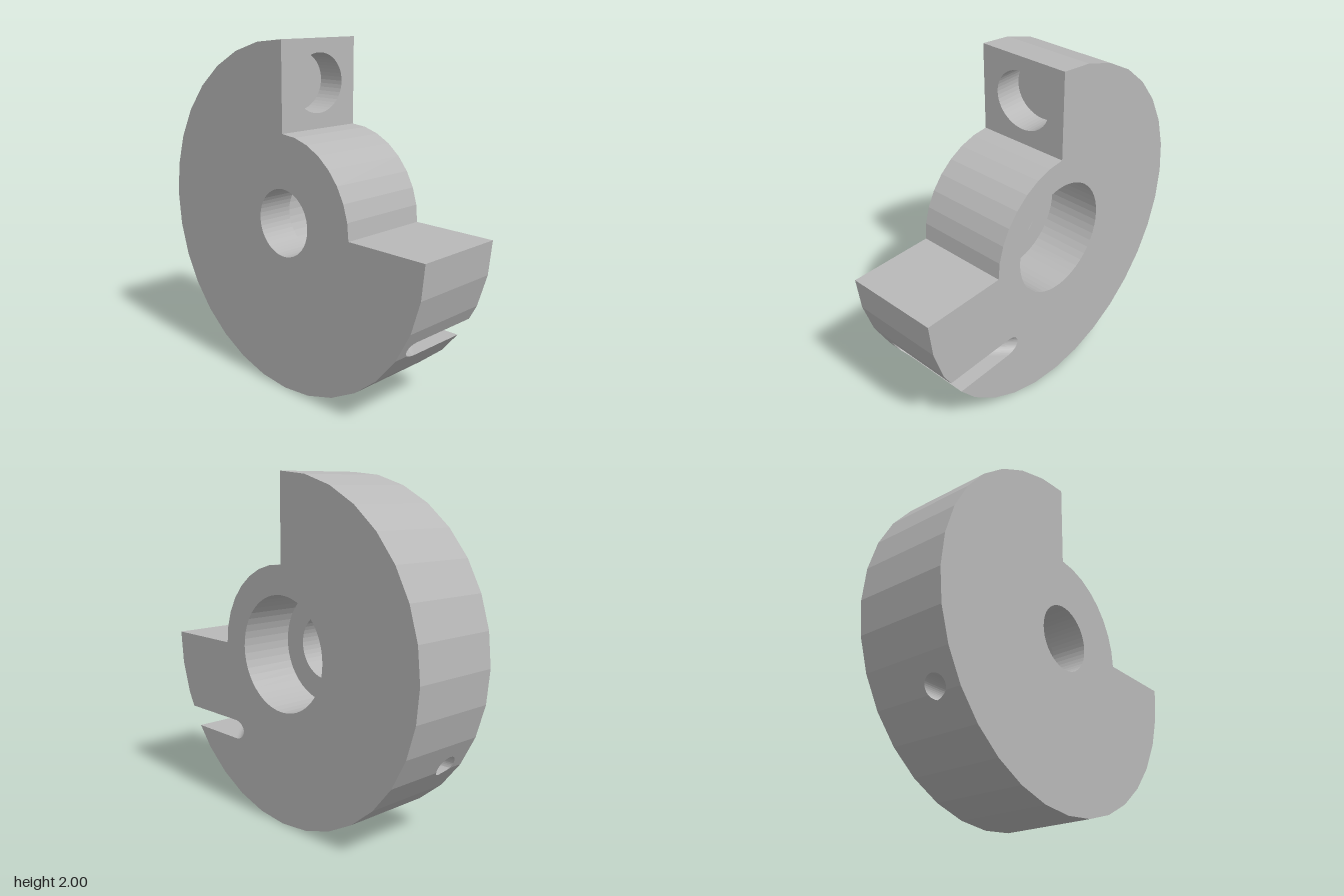
import * as THREE from 'three';

const T = 0.278;                        // half thickness
const BORE = 0.194, COUNTER = 0.333;    // centre bore and rear counterbore radii
const SHOULDER = 0.055;                 // z of the counterbore floor
const YC = 0.473, R = 0.0575, C = 0.715; // diagonal slot: height, radius, centre line z = x - C
const ZC = 0.13, HZ = 0.065;            // small cross hole: centre z and half width
const STEP = Math.PI / 16;

export function createModel() {
  const metal = new THREE.MeshStandardMaterial({ color: 0xb8b8b8 });
  const group = new THREE.Group();
  group.name = 'notchedDisc';

  const add = (name, geometry) => {
    const mesh = new THREE.Mesh(geometry, metal);
    mesh.name = name;
    group.add(mesh);
  };
  // Faceted surface between two point rows of equal length
  const strip = (name, a, b) => {
    const pos = [];
    for (let i = 0; i + 1 < a.length; i++) {
      pos.push(...a[i], ...b[i], ...b[i + 1], ...a[i], ...b[i + 1], ...a[i + 1]);
    }
    const g = new THREE.BufferGeometry();
    g.setAttribute('position', new THREE.Float32BufferAttribute(pos, 3));
    g.computeVertexNormals();
    add(name, g);
  };
  const ellipse = (cx, cy, rx, ry, n = 48) => Array.from({ length: n + 1 }, (_, i) => {
    const t = (i / n) * Math.PI * 2;
    return [cx + rx * Math.cos(t), cy + ry * Math.sin(t)];
  });
  const face = (outline, hole) => {
    const vec = (pts) => pts.map(([x, y]) => new THREE.Vector2(x, y));
    const shape = new THREE.Shape(vec(outline));
    if (hole) shape.holes.push(new THREE.Path(vec(hole.slice(0, -1))));
    return new THREE.ShapeGeometry(shape);
  };
  const polar = (r, a) => [r * Math.cos(a), 1 + r * Math.sin(a)];

  // Three-quarter disc with a smaller hub filling the missing quarter
  const outer = Array.from({ length: 25 }, (_, i) => polar(1, Math.PI / 2 + i * STEP));
  const hub = Array.from({ length: 9 }, (_, i) => polar(0.5, i * STEP));

  // Faceted rim: half width x at height y, around the slot and cross hole
  const rim = [4, 3, 2].map((k) => polar(1, -k * STEP));
  const rimX = (y) => {
    const [p, q] = y < rim[1][1] ? [rim[0], rim[1]] : [rim[1], rim[2]];
    return p[0] + ((q[0] - p[0]) * (y - p[1])) / (q[1] - p[1]);
  };
  const yLow = YC - R, yHigh = YC + R;
  const slotYs = Array.from({ length: 21 }, (_, i) => YC - R * Math.cos((i / 20) * Math.PI));
  slotYs.push(rim[1][1]);
  slotYs.sort((a, b) => a - b);
  const allYs = [rim[0][1], ...slotYs, rim[2][1]];

  const round = (y) => Math.sqrt(Math.max(0, 1 - ((y - YC) / R) ** 2));
  const floorX = (y, z) => z + C - R * round(y) * Math.SQRT2;
  const edgeZ = (y) => rimX(y) - C + R * round(y) * Math.SQRT2;
  const holeHi = (y) => Math.min(ZC + HZ * round(y), edgeZ(y));
  const holeLo = (y) => Math.min(ZC - HZ * round(y), holeHi(y));

  // Front and back faces
  const front = face([...outer, ...hub], ellipse(0, 1, BORE, BORE));
  front.translate(0, 0, T);
  add('frontFace', front);
  const notch = [[rimX(yLow), yLow], ...slotYs.map((y) => [floorX(y, -T), y]), [rimX(yHigh), yHigh]];
  const backLine = [...outer.slice(0, 21), ...notch, ...outer.slice(22), ...hub];
  const mirror = (pts) => pts.map(([x, y]) => [-x, y]);
  const back = face(mirror(backLine), mirror(ellipse(0, 1, COUNTER, COUNTER)));
  back.rotateY(Math.PI).translate(0, 0, -T);
  add('backFace', back);

  // Plain walls
  const at = (pts, z) => pts.map(([x, y]) => [x, y, z]);
  const wall = (name, pts) => strip(name, at(pts, T), at(pts, -T));
  wall('upperLeftRim', outer.slice(0, 11));
  wall('lowerRim', outer.slice(12, 21));
  wall('rightRim', outer.slice(22));
  wall('notchLedge', [outer[24], hub[0]]);
  wall('hubWall', hub);
  wall('rimBelowSlot', [rim[0], [rimX(yLow), yLow]]);
  wall('rimAboveSlot', [[rimX(yHigh), yHigh], rim[2]]);

  // Counterbored centre hole
  const bore = ellipse(0, 1, BORE, BORE), counter = ellipse(0, 1, COUNTER, COUNTER);
  strip('centreBore', at(bore, SHOULDER), at(bore, T));
  strip('counterboreWall', at(counter, -T), at(counter, SHOULDER));
  strip('counterboreFloor', at(counter, SHOULDER), at(bore, SHOULDER));

  // Upright notch face with a shallow blind pocket
  const pocket = ellipse(0, 1.754, 0.18, 0.167);
  const depth = 0.167;
  add('notchFace', face([[-T, 1.5], [T, 1.5], [T, 2], [-T, 2]], pocket).rotateY(Math.PI / 2));
  add('pocketFloor', face(pocket.slice(0, -1)).rotateY(Math.PI / 2).translate(-depth, 0, 0));
  strip('pocketWall', pocket.map(([z, y]) => [0, y, z]), pocket.map(([z, y]) => [-depth, y, z]));

  // Rim around the cross hole on one side and the slot on the other
  const row = (ys, x, z) => ys.map((y) => [x(y), y, z(y)]);
  const leftX = (y) => -rimX(y);
  strip('rimBehindHole', row(allYs, leftX, () => -T), row(allYs, leftX, holeLo));
  strip('rimBeforeHole', row(allYs, leftX, holeHi), row(allYs, leftX, () => T));
  strip('rimBeforeSlot', row(slotYs, rimX, () => T), row(slotYs, rimX, edgeZ));

  // Rounded diagonal slot floor, pierced by the cross hole
  const onFloor = (z) => row(slotYs, (y) => floorX(y, z(y)), z);
  strip('slotFloorOuter', onFloor(edgeZ), onFloor(holeHi));
  strip('slotFloorInner', onFloor(holeLo), onFloor(() => -T));
  for (const [name, y, up] of [['slotTop', yHigh, false], ['slotBottom', yLow, true]]) {
    const x = rimX(y), tip = [C - T, y, -T];
    const ends = [[x, y, -T], [x, y, x - C]];
    strip(name, [tip, tip], up ? ends.reverse() : ends);
  }

  // Cross hole running through to the opposite rim
  strip('crossHoleFront', onFloor(holeHi), row(slotYs, leftX, holeHi));
  strip('crossHoleBack', row(slotYs, leftX, holeLo), onFloor(holeLo));

  return group;
}
